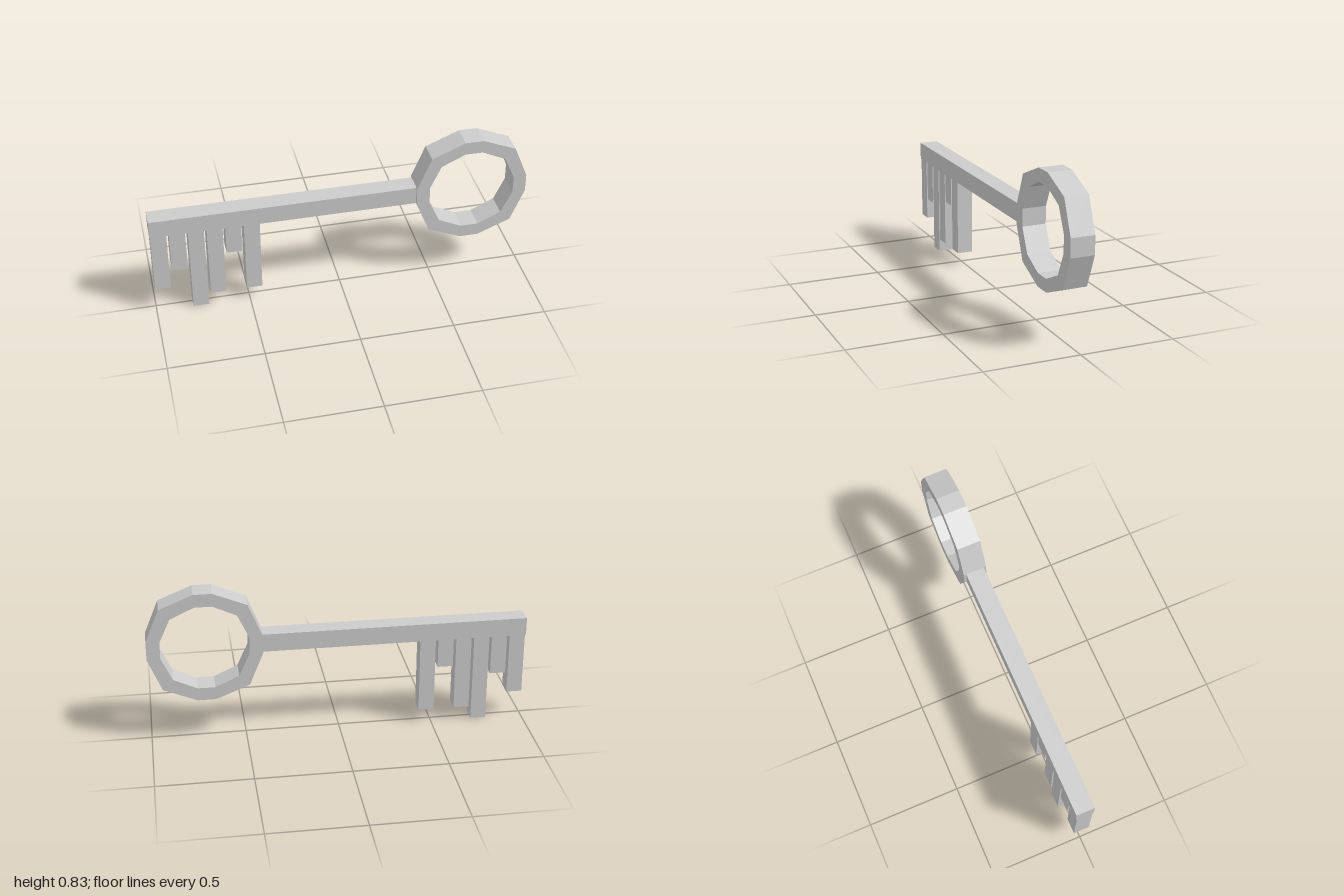
import * as THREE from 'three';

// Twelve-sided outline: four short flats joined through single corner points
function outline(target, cx, cy, reach, flat, corner) {
  const quarter = [[reach, -flat], [reach, flat], [corner, corner]];
  const points = [];
  for (let i = 0; i < 4; i++) {
    const a = (i * Math.PI) / 2, c = Math.cos(a), s = Math.sin(a);
    for (const [x, y] of quarter) {
      points.push(new THREE.Vector2(cx + x * c - y * s, cy + x * s + y * c));
    }
  }
  return target.setFromPoints(points);
}

export function createModel() {
  const key = new THREE.Group();
  key.name = 'key';
  const material = new THREE.MeshStandardMaterial({ color: 0xcccccc, flatShading: true });

  function add(name, geometry, x = 0, y = 0, z = 0) {
    const mesh = new THREE.Mesh(geometry, material);
    mesh.name = name;
    mesh.position.set(x, y, z);
    key.add(mesh);
  }

  // Ring handle
  const ring = outline(new THREE.Shape(), 0, 0, 0.299, 0.049, 0.226);
  ring.holes.push(outline(new THREE.Path(), 0, 0, 0.229, 0.046, 0.171));
  const depth = 0.127;
  const ringGeometry = new THREE.ExtrudeGeometry(ring, { depth, bevelEnabled: false });
  add('ringHandle', ringGeometry.translate(0, 0, -depth / 2), 0.701, 0.535);

  // Square shaft
  add('shaft', new THREE.BoxGeometry(1.402, 0.097, 0.1), -0.299, 0.535);

  // Teeth of different lengths hanging below the shaft
  const top = 0.487;
  [0.147, 0.265, 0, 0.073, 0.325, 0.073].forEach((bottom, i) => {
    add('tooth' + (i + 1), new THREE.BoxGeometry(0.083, top - bottom, 0.086),
      -0.956 + i * 0.0967, (top + bottom) / 2, 0.003);
  });

  return key;
}
